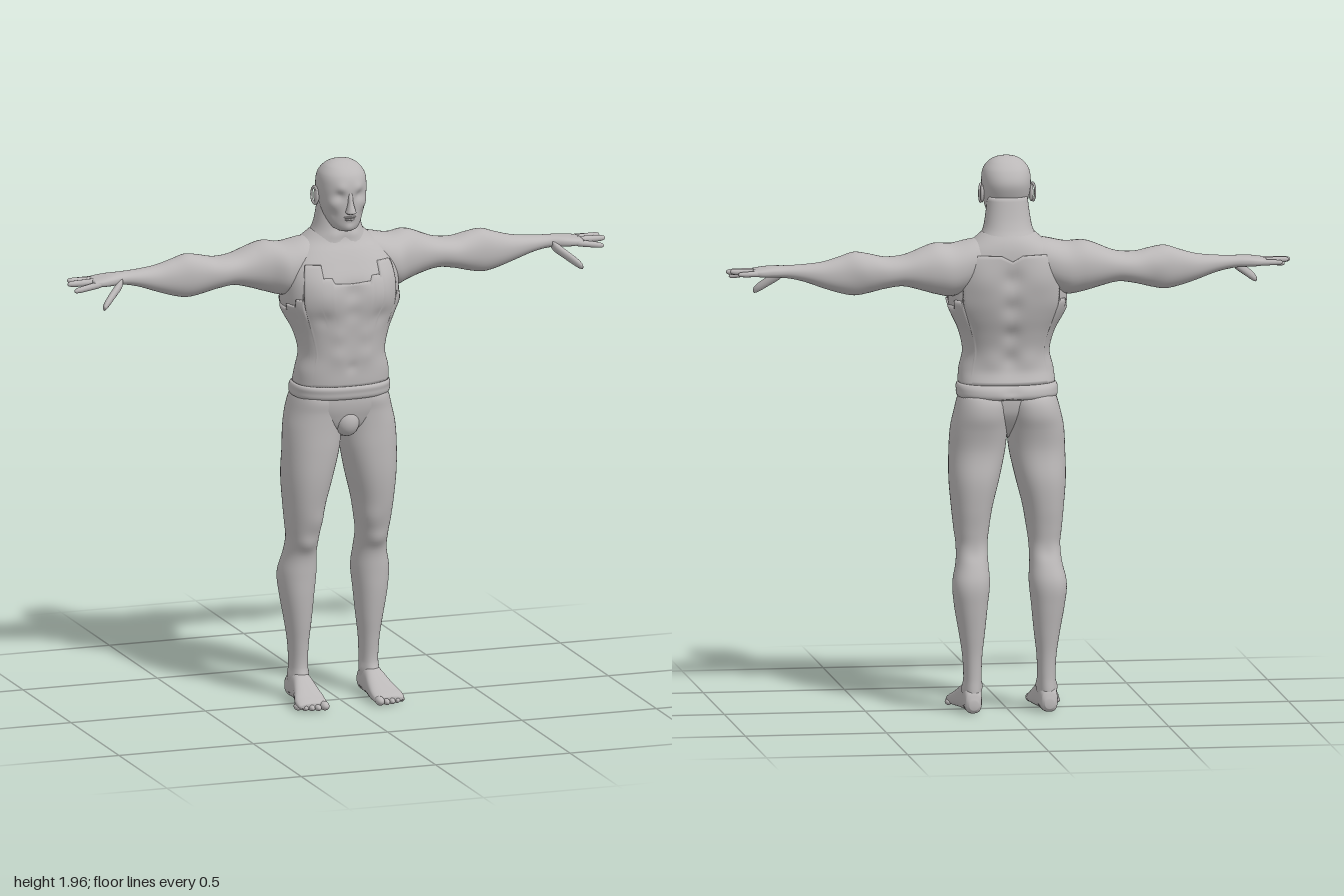
import * as THREE from 'three';

const skin = new THREE.MeshStandardMaterial({ color: 0xbbb8b8 });
skin.name = 'stone grey';

// Smooth interpolation of a key list [s, u0, u1, v0, v1, roundness]
function sample(keys, s) {
  const last = keys.length - 1;
  let i = 0;
  while (i < last - 1 && s > keys[i + 1][0]) i++;
  const a = keys[Math.max(i - 1, 0)], b = keys[i], c = keys[i + 1], d = keys[Math.min(i + 2, last)];
  const h = c[0] - b[0], t = Math.min(Math.max((s - b[0]) / h, 0), 1), t2 = t * t, t3 = t2 * t;
  return [1, 2, 3, 4, 5].map(k => {
    const g = q => q[k] ?? 2.2;
    const m1 = (g(c) - g(a)) / (c[0] - a[0]) * h, m2 = (g(d) - g(b)) / (d[0] - b[0]) * h;
    return (2 * t3 - 3 * t2 + 1) * g(b) + (t3 - 2 * t2 + t) * m1 + (3 * t2 - 2 * t3) * g(c) + (t3 - t2) * m2;
  });
}

// One point on the superellipse section at s, angle t, along the given axis
function sectionPoint(keys, axis, s, t, grow = 0) {
  const [u0, u1, v0, v1, e] = sample(keys, s);
  const f = w => Math.sign(w) * Math.pow(Math.abs(w), 2 / e);
  const p = [0, 0, 0];
  p[axis] = s;
  p[(axis + 1) % 3] = (u0 + u1) / 2 + ((u1 - u0) / 2 + grow) * f(Math.cos(t));
  p[(axis + 2) % 3] = (v0 + v1) / 2 + ((v1 - v0) / 2 + grow) * f(Math.sin(t));
  return p;
}

// Surface from closed rings, with both ends capped
function skinRings(rings) {
  const n = rings[0].length, pos = [], idx = [];
  rings.forEach(r => r.forEach(p => pos.push(...p)));
  for (let j = 0; j < rings.length - 1; j++) for (let i = 0; i < n; i++) {
    const a = j * n + i, b = j * n + (i + 1) % n;
    idx.push(a, b, b + n, a, b + n, a + n);
  }
  [0, rings.length - 1].forEach(j => {
    const c = pos.length / 3, mid = [0, 1, 2].map(k => rings[j].reduce((q, p) => q + p[k], 0) / n);
    pos.push(...mid);
    for (let i = 0; i < n; i++) {
      const a = j * n + i, b = j * n + (i + 1) % n;
      if (j) idx.push(c, a, b); else idx.push(c, b, a);
    }
  });
  const g = new THREE.BufferGeometry();
  g.setAttribute('position', new THREE.Float32BufferAttribute(pos, 3));
  g.setIndex(idx);
  g.computeVertexNormals();
  return g;
}

function loft(keys, axis, n = 32, sub = 5, grow = 0) {
  const rings = [];
  for (let i = 0; i < keys.length - 1; i++) for (let j = i ? 1 : 0; j <= sub; j++) {
    const s = keys[i][0] + (keys[i + 1][0] - keys[i][0]) * j / sub;
    rings.push(Array.from({ length: n }, (_, k) => sectionPoint(keys, axis, s, k / n * Math.PI * 2, grow)));
  }
  return skinRings(rings);
}

// Push the surface in or out around points [x, y, z, radius, amount], alike on both sides
function bump(g, list) {
  const p = g.attributes.position, nm = g.attributes.normal;
  for (let i = 0; i < p.count; i++) {
    let d = 0;
    for (const [x, y, z, r, a] of list) {
      const q = (Math.abs(p.getX(i)) - x) ** 2 + (p.getY(i) - y) ** 2 + (p.getZ(i) - z) ** 2;
      d += a * Math.exp(-q / (r * r));
    }
    p.setXYZ(i, p.getX(i) + nm.getX(i) * d, p.getY(i) + nm.getY(i) * d, p.getZ(i) + nm.getZ(i) * d);
  }
  g.computeVertexNormals();
  return g;
}

function ball(x, y, z, rx, ry, rz) {
  return new THREE.SphereGeometry(1, 20, 14).scale(rx, ry, rz).translate(x, y, z);
}

function mirrored(g) {
  const m = g.clone().scale(-1, 1, 1), a = m.index.array;
  for (let i = 0; i < a.length; i += 3) [a[i], a[i + 1]] = [a[i + 1], a[i]];
  return m;
}

// Symmetric section about x = 0 for upright parts
const sym = rows => rows.map(([y, zb, zf, w, e]) => [y, zb, zf, -w, w, e]);

export function createModel() {
  const model = new THREE.Group();
  model.name = 'muscularFigure';
  const add = (name, g) => {
    const m = new THREE.Mesh(g, skin);
    m.name = name;
    model.add(m);
  };
  const pair = (name, g) => { add(name + 'Left', g); add(name + 'Right', mirrored(g)); };

  // Torso
  const torso = sym([
    [1.12, -.125, .115, .165, 2.4], [1.17, -.108, .122, .163, 2.4], [1.21, -.092, .124, .159, 2.4],
    [1.27, -.095, .128, .146, 2.4], [1.34, -.113, .131, .161, 2.4], [1.40, -.133, .137, .186, 2.4],
    [1.45, -.145, .143, .205, 2.5], [1.50, -.15, .142, .208, 2.6], [1.55, -.152, .133, .205, 2.6],
    [1.60, -.151, .108, .195, 2.5], [1.64, -.147, .083, .165, 2.3], [1.67, -.137, .06, .125, 2.2],
    [1.70, -.118, .05, .09, 2]]);
  const muscles = [
    [.09, 1.49, .13, .06, .01], [0, 1.5, .14, .03, -.008], [0, 1.43, .14, .03, -.006],
    [.1, 1.41, .12, .03, -.006], [.05, 1.35, .13, .03, .004], [.05, 1.27, .13, .03, .004],
    [0, 1.23, .13, .02, -.005], [.1, 1.54, -.14, .06, .008], [0, 1.54, -.15, .035, -.012],
    [0, 1.44, -.14, .035, -.012], [0, 1.34, -.11, .03, -.01], [0, 1.25, -.09, .03, -.008],
    [.06, 1.24, -.09, .04, .006], [.18, 1.43, -.05, .06, .008]];
  add('torso', bump(loft(torso, 1, 72), muscles));

  // Vest: a thin shell over the torso with a stepped neckline and open armholes
  const vestTop = (x, z) => {
    if (z > .03) return x < .075 ? 1.535 : x < .11 ? 1.555 : x < .165 ? 1.6 : x < .19 ? 1.48 : 1.455;
    return z > -.08 ? 1.435 : x < .165 ? 1.625 - .02 * Math.max(0, 1 - x / .05) : 1.46;
  };
  const vestRings = [], count = 160, rows = 40;
  for (let j = 0; j <= rows + 1; j++) vestRings.push(Array.from({ length: count }, (_, i) => {
    const t = i / count * Math.PI * 2, q = sectionPoint(torso, 1, 1.5, t);
    const top = vestTop(Math.abs(q[0]), q[2]);
    return sectionPoint(torso, 1, 1.16 + (top - 1.16) * Math.min(j / rows, 1), t, j > rows ? -.012 : .007);
  }));
  add('vest', bump(skinRings(vestRings), muscles));

  // Waistband
  const band = sym([[1.108, -.12, .105, .16, 2.4], [1.114, -.137, .124, .175, 2.4], [1.135, -.14, .13, .178, 2.4],
    [1.156, -.128, .13, .175, 2.4], [1.163, -.11, .11, .16, 2.4]]);
  add('waistband', bump(loft(band, 1, 72), [[0, 1.14, -.14, .025, -.01]]));

  // Hips
  add('hips', loft(sym([[.965, -.03, .05, .03], [1.0, -.07, .09, .11], [1.05, -.105, .11, .16, 2.3],
    [1.09, -.115, .118, .17, 2.4], [1.13, -.115, .118, .168, 2.4]]), 1, 48));
  add('groin', ball(0, 1.025, .075, .045, .055, .045));

  // Legs
  pair('leg', bump(loft([
    [.02, -.12, -.02, .102, .163], [.07, -.122, -.002, .1, .165], [.12, -.118, -.018, .1, .162],
    [.20, -.12, -.014, .097, .166], [.28, -.13, -.003, .088, .178], [.38, -.143, .008, .078, .195],
    [.46, -.146, .012, .07, .2], [.53, -.125, .018, .074, .187], [.59, -.105, .042, .074, .184],
    [.64, -.107, .058, .068, .19], [.72, -.118, .08, .055, .198], [.82, -.125, .097, .03, .206],
    [.92, -.115, .103, .008, .205], [1.0, -.125, .104, 0, .2], [1.06, -.137, .106, -.002, .187],
    [1.11, -.13, .11, 0, .173], [1.135, -.1, .09, .02, .16]], 1, 48), [
    [.13, .575, .04, .03, .008], [.10, .66, .06, .04, .006], [.17, .44, -.12, .05, .004],
    [.13, .56, -.11, .03, -.005], [.09, 1.04, -.13, .06, .005], [.1, .09, -.06, .02, .006],
    [.165, .085, -.07, .02, .006]]));

  // Feet and toes
  pair('foot', loft([
    [-.132, .118, .15, .014, .045, 2.2], [-.12, .106, .163, .002, .075, 2.6], [-.07, .1, .166, 0, .105, 2.6],
    [-.02, .096, .17, 0, .1, 2.6], [.04, .089, .184, 0, .07, 2.8], [.09, .086, .198, 0, .046, 2.8],
    [.12, .09, .197, .002, .034, 2.6], [.13, .1, .188, .008, .026, 2.2]], 2, 32));
  for (let i = 0; i < 5; i++) {
    const r = i ? .0115 : .016;
    pair('toe' + (i + 1), ball(.103 + i * .0215 + (i ? .003 : 0), r, .13 - i * i * .002, r, r, .026));
  }

  // Arms with palms
  pair('arm', bump(loft([
    [.05, 1.56, 1.675, -.12, .02], [.12, 1.51, 1.675, -.14, .06], [.20, 1.475, 1.66, -.153, .065],
    [.26, 1.485, 1.662, -.155, .03], [.31, 1.5, 1.648, -.152, .012], [.38, 1.517, 1.624, -.145, .003],
    [.44, 1.51, 1.62, -.14, .005], [.50, 1.495, 1.633, -.13, 0], [.55, 1.487, 1.64, -.125, -.004],
    [.60, 1.496, 1.625, -.12, -.01], [.66, 1.515, 1.608, -.115, -.018], [.73, 1.54, 1.6, -.105, -.023],
    [.79, 1.553, 1.597, -.098, -.025], [.84, 1.556, 1.595, -.102, -.005, 2.6],
    [.88, 1.558, 1.59, -.104, .002, 2.8], [.91, 1.564, 1.585, -.098, -.002, 2.8]], 0, 40), [
    [.28, 1.65, -.06, .05, .004], [.52, 1.58, -.13, .04, .005], [.40, 1.58, 0, .05, .006]]));

  // Fingers and thumb
  const finger = (name, a, b, r) => pair(name, loft([0, .1, .45, .8, .96, 1].map((t, i) => {
    const q = r * [.8, 1.05, 1, .9, .6, .15][i], c = a.map((v, k) => v + (b[k] - v) * t);
    return [c[0], c[1] - q, c[1] + q, c[2] - q, c[2] + q, 2];
  }), 0, 14, 3));
  finger('littleFinger', [.88, 1.573, -.09], [.965, 1.573, -.096], .010);
  finger('ringFinger', [.89, 1.575, -.065], [.99, 1.58, -.068], .0115);
  finger('middleFinger', [.89, 1.575, -.038], [1, 1.575, -.036], .012);
  finger('indexFinger', [.88, 1.573, -.010], [.985, 1.555, -.006], .0115);
  finger('thumb', [.80, 1.568, -.03], [.893, 1.495, .038], .018);

  // Neck
  add('neck', bump(loft(sym([[1.60, -.145, .06, .13], [1.65, -.142, .066, .122], [1.68, -.13, .06, .102],
    [1.71, -.113, .052, .087], [1.75, -.098, .045, .079], [1.82, -.082, .04, .07]]), 1, 40),
  [[0, 1.67, .06, .02, -.008], [.035, 1.69, .05, .02, .005]]));

  // Head
  add('head', bump(loft(sym([
    [1.712, .03, .085, .025], [1.722, .005, .1, .043], [1.755, -.03, .108, .063], [1.79, -.06, .112, .075],
    [1.83, -.082, .114, .083], [1.87, -.091, .115, .086], [1.91, -.076, .104, .081], [1.937, -.05, .079, .063],
    [1.952, -.024, .048, .041], [1.958, -.005, .028, .02], [1.96, .008, .014, .004]]), 1, 80, 7), [
    [.034, 1.846, .1, .018, -.011], [.03, 1.872, .108, .018, .005], [.055, 1.815, .085, .022, .005],
    [.05, 1.775, .08, .022, -.006], [0, 1.728, .104, .018, .005], [0, 1.746, .11, .01, -.003],
    [0, 1.765, .11, .018, .004]]));

  // Face
  add('nose', loft(sym([[1.779, .1, .122, .01], [1.785, .095, .138, .018], [1.795, .095, .138, .016],
    [1.82, .095, .128, .01], [1.85, .095, .118, .008], [1.865, .09, .112, .005]]), 1, 24));
  add('upperLip', ball(0, 1.768, .108, .023, .0045, .009));
  add('lowerLip', ball(0, 1.759, .107, .019, .005, .009));
  pair('eye', ball(.034, 1.846, .084, .014, .008, .012));
  pair('ear', ball(.087, 1.828, 0, .008, .033, .018).rotateZ(0));
  pair('earRim', new THREE.TorusGeometry(1, .2, 8, 24).scale(.017, .03, .02).rotateY(1.2).translate(.093, 1.83, -.002));

  return model;
}
